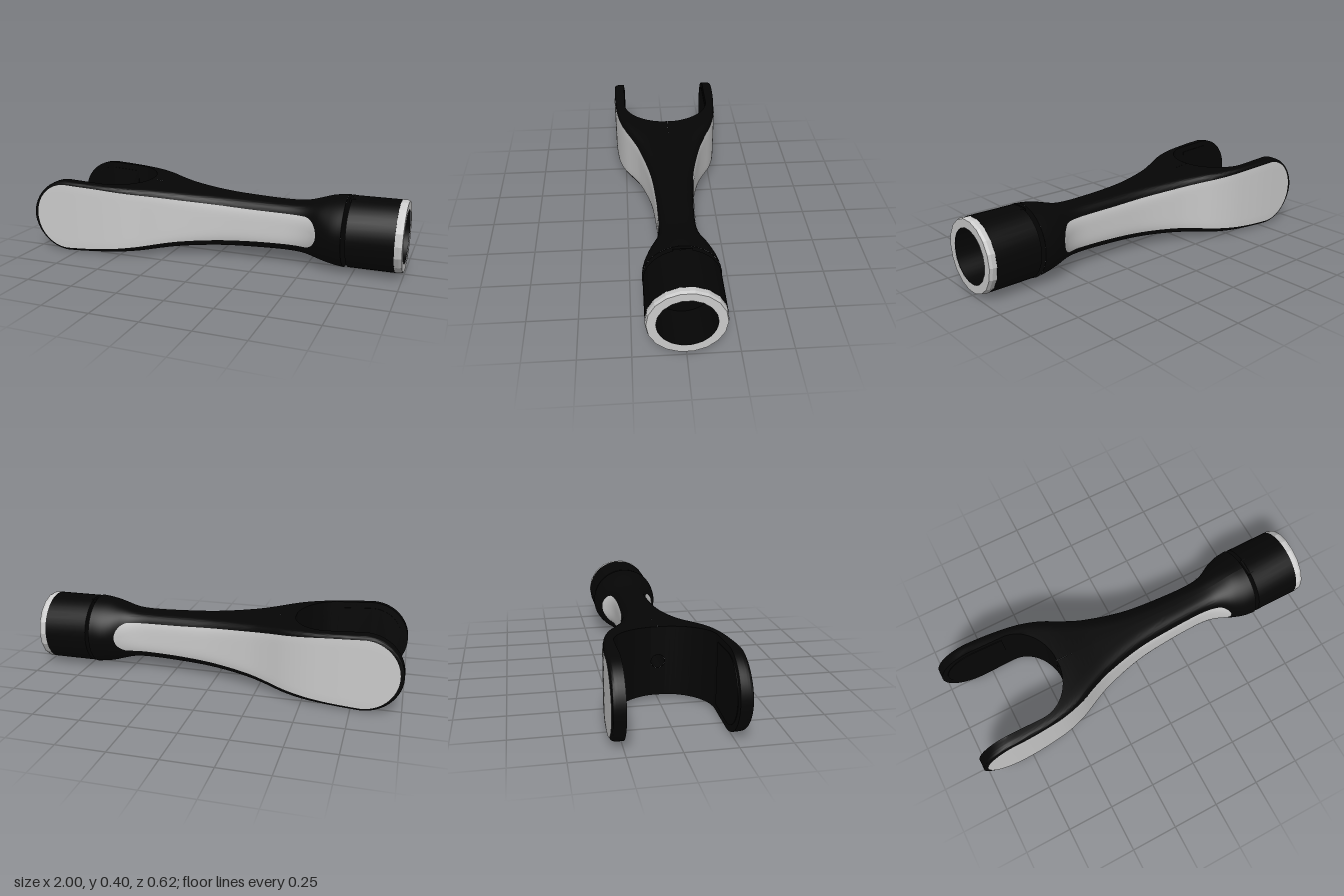
import * as THREE from 'three';
import { toCreasedNormals } from 'three/addons/utils/BufferGeometryUtils.js';

const dark = new THREE.MeshStandardMaterial({ color: 0x050505 });
const grey = new THREE.MeshStandardMaterial({ color: 0xcccccc });
const HOLE = 0.036;

// Smooth interpolation through [x, value] pairs
function profile(pts) {
  const slope = (i) => {
    const a = pts[Math.max(i - 1, 0)], b = pts[Math.min(i + 1, pts.length - 1)];
    return (b[1] - a[1]) / (b[0] - a[0]);
  };
  return (x) => {
    let i = 0;
    while (i < pts.length - 2 && x > pts[i + 1][0]) i++;
    const [x0, v0] = pts[i], [x1, v1] = pts[i + 1], d = x1 - x0;
    const t = THREE.MathUtils.clamp((x - x0) / d, 0, 1), t2 = t * t, t3 = t2 * t;
    return v0 * (2 * t3 - 3 * t2 + 1) + v1 * (3 * t2 - 2 * t3)
      + d * (slope(i) * (t3 - 2 * t2 + t) + slope(i + 1) * (t3 - t2));
  };
}

// Half height, half width, squareness of the section, half height of the grip
const heightAt = profile([[-0.8, 0.2], [-0.6, 0.19], [-0.4, 0.178], [-0.2, 0.157], [0, 0.143],
  [0.2, 0.134], [0.38, 0.13], [0.48, 0.137], [0.55, 0.157], [0.62, 0.18], [0.7, 0.19]]);
const widthAt = profile([[-1, 0.303], [-0.75, 0.303], [-0.6, 0.293], [-0.5, 0.278], [-0.4, 0.248],
  [-0.3, 0.203], [-0.2, 0.165], [0, 0.119], [0.2, 0.1], [0.38, 0.094], [0.46, 0.102],
  [0.52, 0.123], [0.58, 0.16], [0.64, 0.183], [0.7, 0.19]]);
const powerAt = profile([[-1, 24], [-0.6, 20], [-0.3, 9], [0, 4.5], [0.4, 3.5], [0.6, 2], [0.7, 2]]);
const gripAt = profile([[-0.8, 0.18], [-0.6, 0.168], [-0.4, 0.146], [-0.2, 0.118], [0, 0.1],
  [0.2, 0.088], [0.4, 0.083], [0.57, 0.082]]);

const halfHeight = (x) => (x < -0.8 ? Math.sqrt(Math.max(0, 0.04 - (x + 0.8) ** 2)) : heightAt(x));

// Slot between the prongs: straight sides and an elliptical floor
const slotEnd = -0.62 + 0.2 * Math.sqrt(1 - (HOLE / 0.245) ** 2);
const slotAt = (x) => (x < -0.62 ? 0.245 : 0.245 * Math.sqrt(Math.max(0, 1 - ((x + 0.62) / 0.2) ** 2)));

// Surface through rows of points; wrap(i) closes row i into a loop
function loft(rows, wrap = () => false) {
  const pos = [], tri = new THREE.Triangle();
  const add = (a, b, c) => {
    if (tri.set(a, b, c).getArea() > 1e-9) pos.push(...a.toArray(), ...b.toArray(), ...c.toArray());
  };
  for (let i = 0; i < rows.length - 1; i++) {
    const n = rows[i].length;
    for (let j = 0; j < (wrap(i) ? n : n - 1); j++) {
      const k = (j + 1) % n;
      add(rows[i][j], rows[i + 1][j], rows[i + 1][k]);
      add(rows[i][j], rows[i + 1][k], rows[i][k]);
    }
  }
  const g = new THREE.BufferGeometry();
  g.setAttribute('position', new THREE.Float32BufferAttribute(pos, 3));
  return toCreasedNormals(g, 0.6);
}

function sectionRow(x, inner) {
  const h = halfHeight(x), w = widthAt(x), e = 2 / powerAt(x), row = [];
  for (let j = 0; j <= 36; j++) {
    const a = -Math.PI / 2 + (j / 36) * Math.PI, s = Math.sin(a);
    const z = w * Math.max(0, Math.cos(a)) ** e;
    row.push(new THREE.Vector3(x, h * Math.sign(s) * Math.abs(s) ** e, Math.max(z, inner)));
  }
  return row;
}

// One side of the handle: a prong flowing into half of the shaft
function halfBody() {
  const xs = [];
  for (let i = 0; i < 14; i++) xs.push(-0.8 - 0.2 * Math.cos((i / 14) * Math.PI / 2));
  for (let i = 0; i < 6; i++) xs.push(-0.8 + 0.03 * i);
  const last = Math.asin((slotEnd + 0.62) / 0.2);
  for (let i = 0; i <= 14; i++) xs.push(-0.62 + 0.2 * Math.sin((i / 14) * last));
  const split = xs.length - 1;
  const rows = xs.map((x) => sectionRow(x, slotAt(x)));
  for (let i = 0; i <= 50; i++) rows.push(sectionRow(slotEnd + (0.7 - slotEnd) * (i / 50), 0));
  return loft(rows, (i) => i < split);
}

// Grip pad laid over the outer face, rounded at both ends
function gripPad() {
  const x0 = -0.98, x1 = 0.565, rows = [];
  for (let i = 0; i <= 90; i++) {
    const x = (x0 + x1) / 2 - ((x1 - x0) / 2) * Math.cos((i / 90) * Math.PI);
    let p = gripAt(x);
    if (x < -0.8) p = Math.sqrt(Math.max(0, 0.0324 - (x + 0.8) ** 2));
    if (x > 0.495) p *= Math.sqrt(Math.max(0, 1 - ((x - 0.495) / 0.07) ** 2));
    const h = Math.max(halfHeight(x), 0.01), n = powerAt(x), row = [];
    for (let j = 0; j <= 16; j++) {
      const y = p * (j / 8 - 1);
      row.push(new THREE.Vector3(x, y, widthAt(x) * (1 - Math.min(1, Math.abs(y / h)) ** n) ** (1 / n) + 0.004));
    }
    rows.push(row);
  }
  return loft(rows);
}

// Thin plate on the inner face of a prong, round at the tip
function innerPlate() {
  const s = new THREE.Shape();
  s.absarc(-0.8, 0, 0.168, Math.PI / 2, Math.PI * 1.5, false);
  s.lineTo(-0.63, -0.158);
  s.lineTo(-0.63, 0.158);
  return new THREE.ExtrudeGeometry(s, { depth: 0.004, bevelEnabled: false, curveSegments: 24 }).translate(0, 0, 0.242);
}

// Turned part about the long axis, from [radius, x] pairs
function turned(pts, segments, crease) {
  const g = new THREE.LatheGeometry(pts.map(([r, x]) => new THREE.Vector2(r, x)), segments);
  g.rotateZ(-Math.PI / 2);
  return toCreasedNormals(g, crease);
}

export function createModel() {
  const model = new THREE.Group();
  model.name = 'forkedHandle';
  model.position.y = 0.2;
  const add = (name, geometry, material) => {
    const m = new THREE.Mesh(geometry, material);
    m.name = name;
    model.add(m);
    return m;
  };

  // Both halves; the section is symmetric, so a half turn mirrors it
  const body = halfBody(), pad = gripPad(), plate = innerPlate();
  ['left', 'right'].forEach((side, i) => {
    add(side + 'BodyHalf', body, dark).rotation.x = i * Math.PI;
    add(side + 'GripPad', pad, grey).rotation.x = i * Math.PI;
    add(side + 'InnerPlate', plate, dark).rotation.x = i * Math.PI;
  });

  // Floor of the slot, pierced by the axial bore
  const h = halfHeight(slotEnd);
  const floor = new THREE.Shape([[-HOLE, -h], [HOLE, -h], [HOLE, h], [-HOLE, h]].map((p) => new THREE.Vector2(...p)));
  floor.holes.push(new THREE.Path().absarc(0, 0, HOLE - 0.001, 0, Math.PI * 2, true));
  add('slotFloor', new THREE.ShapeGeometry(floor, 8).rotateY(-Math.PI / 2), dark).position.x = slotEnd;
  const len = 0.7 - slotEnd;
  const bore = new THREE.CylinderGeometry(HOLE, HOLE, len, 8, 1, true).rotateZ(Math.PI / 2);
  const boreMaterial = dark.clone();
  boreMaterial.side = THREE.DoubleSide;
  add('axialBore', bore, boreMaterial).position.x = slotEnd + len / 2;
  add('shaftEnd', new THREE.RingGeometry(HOLE, 0.19, 36).rotateY(Math.PI / 2), dark).position.x = 0.7;

  // Collar beyond a narrow gap, its dark bore lining the pale end ring
  add('collar', turned([[HOLE, 0.722], [0.187, 0.722], [0.187, 0.962], [0.143, 0.962], [0.143, 0.998],
    [0.139, 0.998], [0.139, 0.79], [HOLE, 0.79], [HOLE, 0.722]], 36, 0.5), dark);
  add('endRing', turned([[0.142, 0.961], [0.187, 0.961], [0.188, 0.985], [0.183, 1], [0.14, 1]], 18, 0.2), grey);
  add('collarTab', new THREE.BoxGeometry(0.03, 0.02, 0.09), dark).position.set(0.725, 0.172, 0);
  return model;
}
